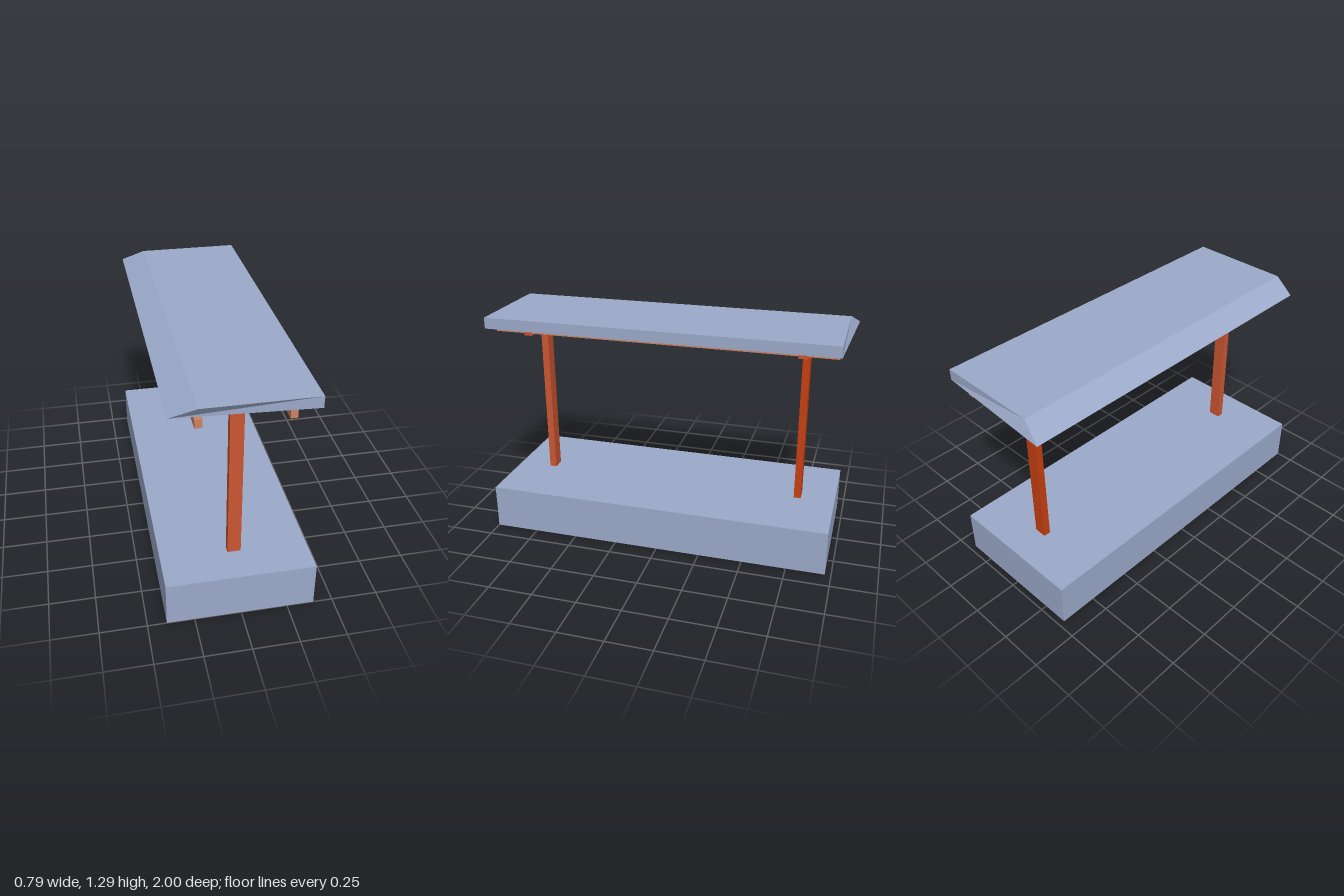
import * as THREE from 'three';

export function createModel() {
  const group = new THREE.Group();
  group.name = 'canopyShelter';

  const mat = (name, color) => {
    const m = new THREE.MeshStandardMaterial({ color });
    m.name = name;
    return m;
  };
  const slate = mat('slateBlue', 0x9caaca);
  const rust = mat('rustOrange', 0xcb5632);
  const deepOrange = mat('deepOrange', 0xc84010);
  const peach = mat('peachTimber', 0xcd8262);

  // box given by its extents on each axis
  const slab = (name, material, [x0, x1], [y0, y1], [z0, z1]) => {
    const geometry = new THREE.BoxGeometry(x1 - x0, y1 - y0, z1 - z0);
    geometry.translate((x0 + x1) / 2, (y0 + y1) / 2, (z0 + z1) / 2);
    const mesh = new THREE.Mesh(geometry, material);
    mesh.name = name;
    group.add(mesh);
    return mesh;
  };

  // platform
  slab('platform', slate, [-0.398, 0.396], [0, 0.256], [-0.966, 1]);

  // posts and the crossbeams on top of them
  slab('frontPost', rust, [-0.037, 0.035], [0.256, 1.172], [0.766, 0.806]);
  slab('backPost', deepOrange, [-0.037, 0.035], [0.256, 1.172], [-0.772, -0.732]);
  slab('frontCrossbeam', rust, [-0.243, 0.245], [1.172, 1.228], [0.764, 0.808]);
  slab('backCrossbeam', rust, [-0.243, 0.245], [1.172, 1.228], [-0.779, -0.731]);

  // rails running the length of the roof
  for (const [name, x] of [['rightRail', [-0.24, -0.202]], ['leftRail', [0.204, 0.24]]]) {
    slab(name, peach, x, [1.183, 1.228], [-0.94, 0.98]);
  }

  // roof: a slab whose right edge slopes down to a skewed eave
  const roof = slab('roof', slate, [-0.225, 0.356], [1.228, 1.29], [-0.957, 0.99]);
  const p = roof.geometry.attributes.position;
  for (let i = 0; i < p.count; i++) {
    if (p.getX(i) < 0 && p.getY(i) < 1.25) {
      p.setX(i, -0.358);
      p.setZ(i, p.getZ(i) - 0.043);
    }
  }
  roof.geometry = roof.geometry.toNonIndexed();
  roof.geometry.computeVertexNormals();

  return group;
}
